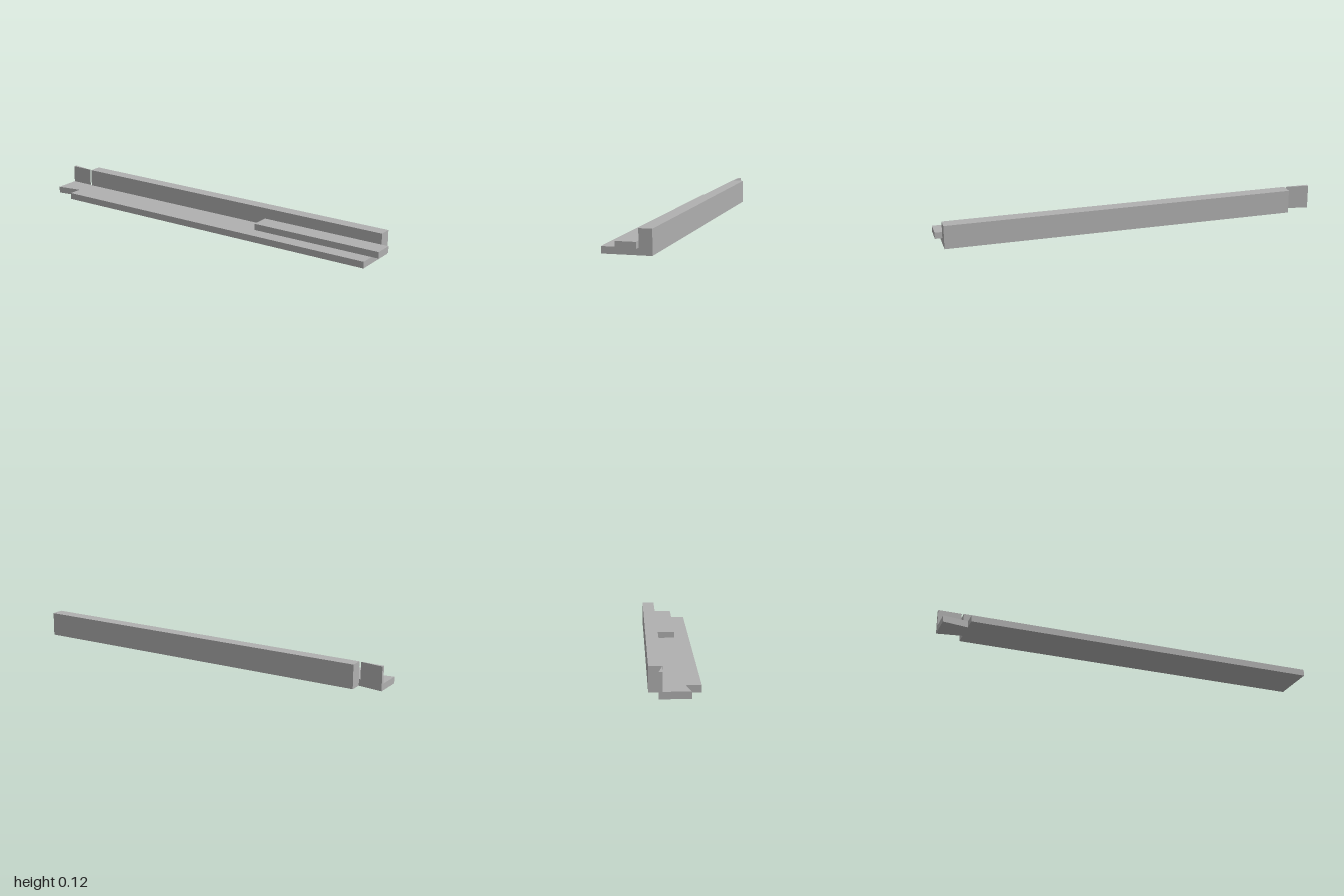
import * as THREE from 'three';

const shapeOf = (pts) => new THREE.Shape(pts.map(([a, b]) => new THREE.Vector2(a, b)));
const extrude = (pts, depth) =>
  new THREE.ExtrudeGeometry(shapeOf(pts), { depth, bevelEnabled: false });

// Outline given as [x, z], raised from y0 to y1
function plan(pts, y0, y1) {
  const g = extrude(pts.map(([x, z]) => [x, -z]), y1 - y0);
  return g.rotateX(-Math.PI / 2).translate(0, y0, 0);
}

// Cross-section given as [z, y], run from x0 to x1
function run(pts, x0, x1) {
  const g = extrude(pts.map(([z, y]) => [-z, y]), x1 - x0);
  return g.rotateY(Math.PI / 2).translate(x0, 0, 0);
}

export function createModel() {
  const group = new THREE.Group();
  const grey = new THREE.MeshStandardMaterial({ color: 0xb0b0b0 });
  grey.name = 'grey';
  const add = (name, geometry) => {
    const mesh = new THREE.Mesh(geometry, grey);
    mesh.name = name;
    group.add(mesh);
  };

  const floor = 0.034, top = 0.123, wallZ = -0.056;

  // L-shaped rail
  add('rail', run([[0.121, 0], [0.121, floor], [wallZ, floor], [wallZ, top],
    [-0.121, top], [-0.121, 0]], -0.87, 0.963));

  // Flared dovetail on the right end
  add('dovetail', plan([[-1, 0.07], [-0.87, 0.049], [-0.87, -0.055], [-1, -0.077]], 0, floor));

  // Thin wedge of wall standing on the dovetail's back edge
  add('dovetailWall', plan([[-1, wallZ - 0.003], [-0.88, wallZ - 0.003], [-1, -0.077]], floor, top));

  // Sliding tongue projecting from the left end
  add('tongue', plan([[0.295, 0.043], [1, 0.043], [1, wallZ], [0.295, wallZ]], floor, 0.067));

  return group;
}
